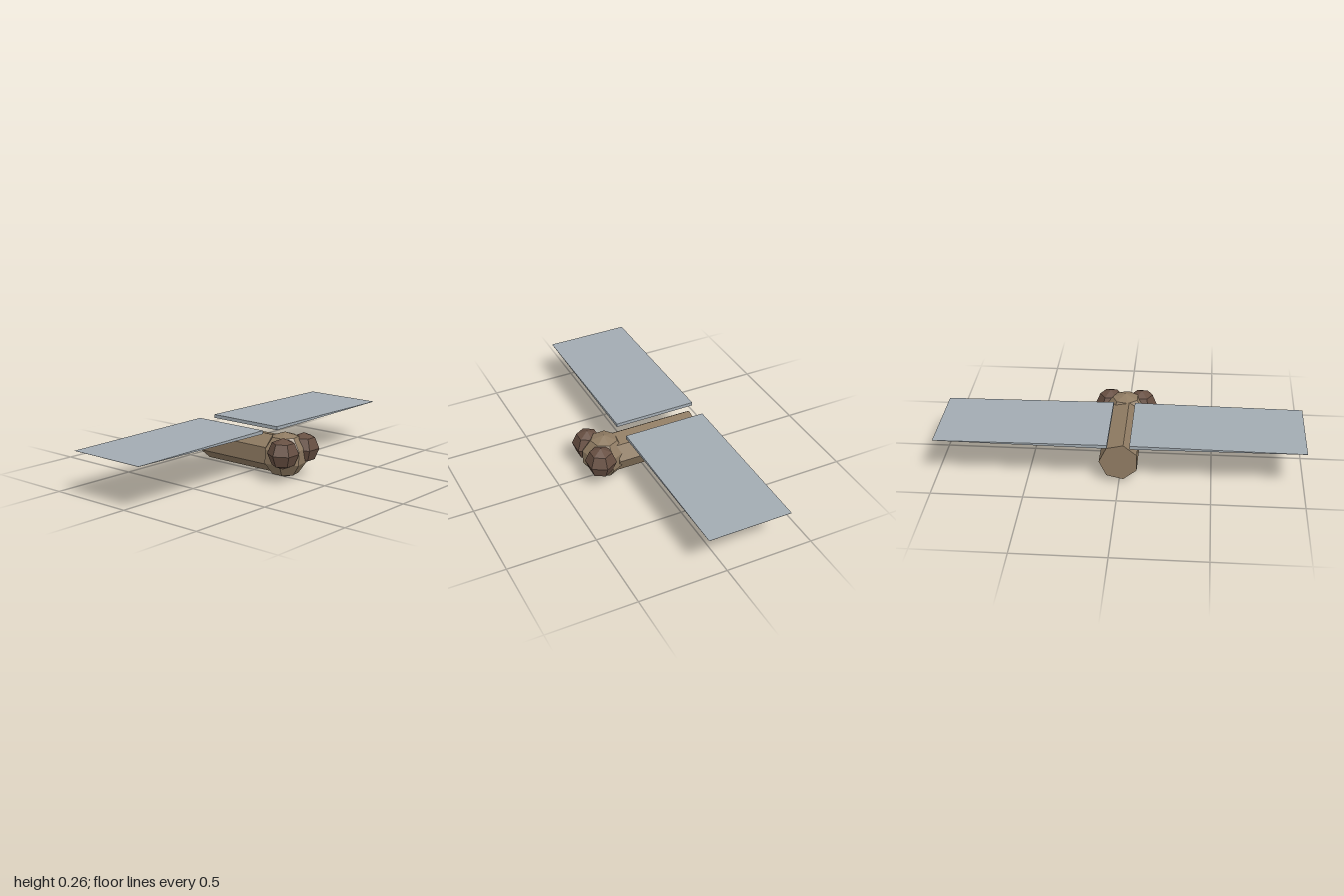
import * as THREE from 'three';

const flat = (name, color) => {
  const m = new THREE.MeshStandardMaterial({ color, flatShading: true });
  m.name = name;
  return m;
};

export function createModel() {
  const tan = flat('tan', 0x8f7b62);
  const brown = flat('brown', 0x674f42);
  const grey = flat('pale grey', 0xa2abb2);

  const model = new THREE.Group();
  model.name = 'dragonfly';
  const add = (name, geometry, material, x, y, z) => {
    const mesh = new THREE.Mesh(geometry, material);
    mesh.name = name;
    mesh.position.set(x, y, z);
    model.add(mesh);
    return mesh;
  };

  // Seven-sided body along z, with a corner pointing to +x
  const bodyShape = new THREE.CylinderGeometry(0.108, 0.108, 0.496, 7, 1, false, Math.PI / 2);
  bodyShape.rotateX(Math.PI / 2);
  add('body', bodyShape, tan, 0, 0.13, -0.072);

  // Faceted head
  add('head', new THREE.SphereGeometry(0.128, 7, 5, Math.PI), tan, 0, 0.13, 0.223);

  for (const [side, s] of [['left', 1], ['right', -1]]) {
    // Bulging eye
    add(side + 'Eye', new THREE.SphereGeometry(0.0875, 6, 4), brown, s * 0.09, 0.16, 0.283);

    // Wing: a slab that thins to an edge at the tip
    const wing = new THREE.BoxGeometry(0.94, 0.02, 0.475);
    const p = wing.attributes.position;
    for (let i = 0; i < p.count; i++) {
      if (p.getX(i) * s > 0) p.setY(i, p.getY(i) * 0.05);
    }
    wing.computeVertexNormals();
    add(side + 'Wing', wing, grey, s * 0.53, 0.248, -0.1225);
  }
  return model;
}
